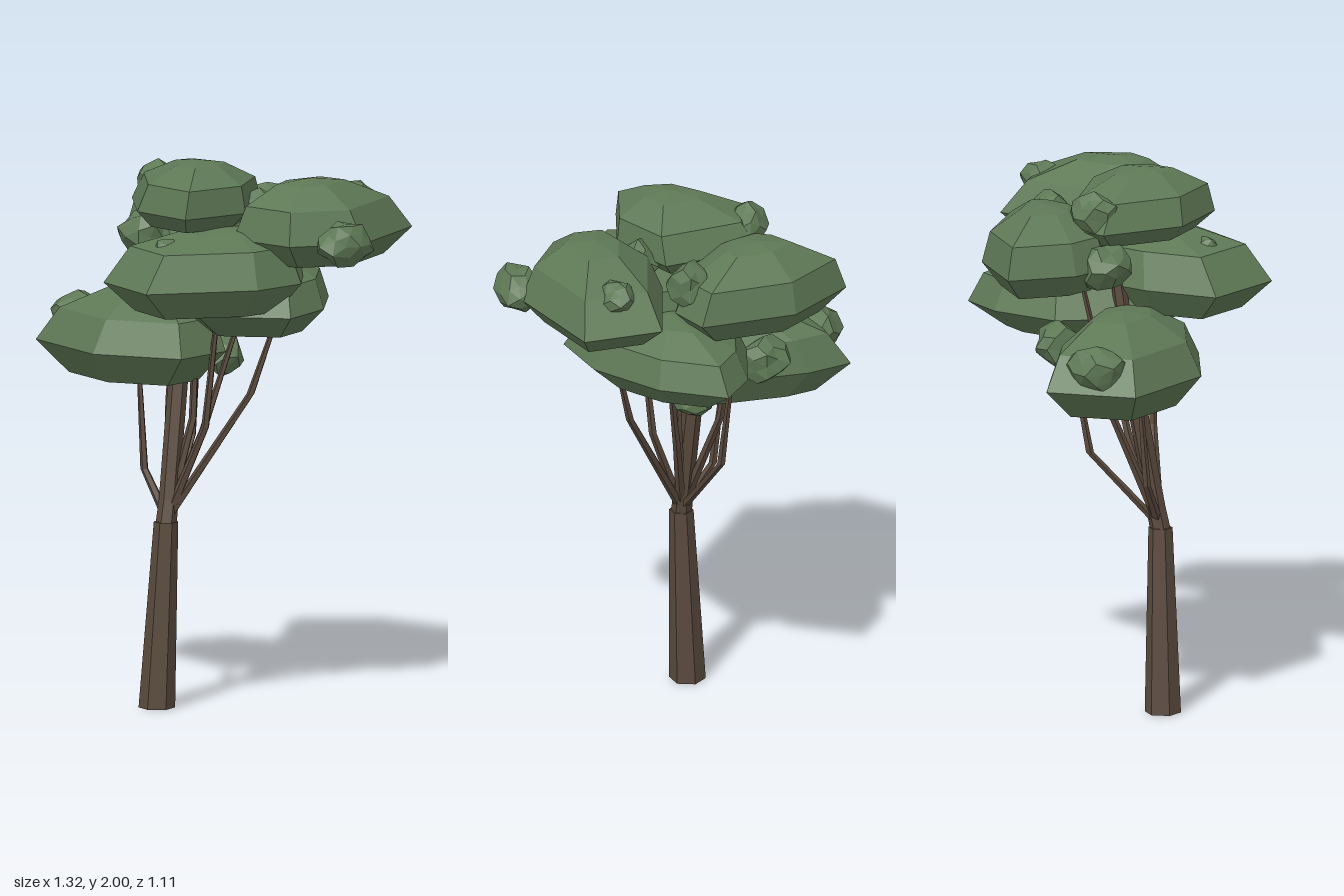
import * as THREE from 'three';

const leafMat = new THREE.MeshStandardMaterial({ color: 0x5e7855, flatShading: true });
const barkMat = new THREE.MeshStandardMaterial({ color: 0x5a4a3d, flatShading: true });

// Closed surface through loops of n corners each, from bottom to top
function loftGeometry(loops) {
  const n = loops[0].length, index = [];
  for (let k = 0; k < loops.length - 1; k++) {
    for (let i = 0; i < n; i++) {
      const j = (i + 1) % n, a = k * n + i, b = k * n + j;
      if (k > 0) index.push(a, b, b + n);
      else index.push(a, b + n, a + n);
      if (k > 0 && k < loops.length - 2) index.push(a, b + n, a + n);
    }
  }
  const g = new THREE.BufferGeometry();
  g.setAttribute('position', new THREE.Float32BufferAttribute(loops.flat(2), 3));
  g.setIndex(index);
  g.computeVertexNormals();
  return g;
}

// Faceted leaf pad: one outline [x, z] scaled per loop; the crown may lean by [dx, dz]
function padGeometry({ outline, heights: [yBottom, yRim, yLedge, yTop], base, ledge, lean }) {
  const n = outline.length;
  const cx = outline.reduce((s, p) => s + p[0], 0) / n;
  const cz = outline.reduce((s, p) => s + p[1], 0) / n;
  const loops = [
    [0, yBottom, 0], [base, yBottom + 0.005, 0], [1, yRim, 0],
    [ledge, yLedge, 0.5], [0.38, yTop - 0.015, 1], [0, yTop, 1],
  ];
  return loftGeometry(loops.map(([s, y, k]) => outline.map(([x, z]) =>
    [cx + (x - cx) * s + lean[0] * k, y, cz + (z - cz) * s + lean[1] * k])));
}

// Tapered limb through points [x, y, z, radius], made of horizontal loops
function limbGeometry(points, sides) {
  const ring = ([x, y, z], r) => Array.from({ length: sides }, (_, i) => {
    const t = (i + 0.3) / sides * Math.PI * 2;
    return [x + Math.sin(t) * r, y, z + Math.cos(t) * r];
  });
  return loftGeometry([
    ring(points[0], 0), ...points.map((p) => ring(p, p[3])), ring(points.at(-1), 0)]);
}

// Small lumpy leaf tuft
function tuftGeometry(rx, ry, rz, seed) {
  const g = new THREE.IcosahedronGeometry(1, 1);
  const p = g.attributes.position, v = new THREE.Vector3();
  for (let i = 0; i < p.count; i++) {
    v.fromBufferAttribute(p, i);
    const k = 0.93 + 0.12 * Math.sin(5 * v.x + 7 * v.y + 4 * v.z + seed);
    p.setXYZ(i, v.x * rx * k, v.y * ry * k, v.z * rz * k);
  }
  g.computeVertexNormals();
  return g;
}

export function createModel() {
  const tree = new THREE.Group();
  tree.name = 'tree';
  const add = (name, geometry, material) => {
    const m = new THREE.Mesh(geometry, material);
    m.name = name;
    tree.add(m);
    return m;
  };

  // Trunk and its narrower upper stem
  add('trunk', limbGeometry([[-0.09, 0, 0.25, 0.066], [-0.065, 0.68, 0.228, 0.044]], 6), barkMat);
  add('upperStem', limbGeometry([
    [-0.065, 0.67, 0.228, 0.038], [-0.07, 0.76, 0.21, 0.036],
    [-0.1, 1.2, 0.137, 0.036], [-0.11, 1.65, 0.07, 0.025]], 6), barkMat);

  // Thin branches, each with a bend: [bend, tip]
  const branches = [
    [[-0.18, 0.86, 0.23], [-0.22, 1.22, 0.22]],
    [[-0.18, 0.96, 0.0], [-0.21, 1.33, -0.06]],
    [[-0.19, 1.1, 0.1], [-0.25, 1.62, 0.0]],
    [[0.05, 1.03, 0.14], [0.1, 1.5, 0.12]],
    [[0.15, 1.15, 0.01], [0.21, 1.42, -0.06]],
    [[-0.04, 1.05, 0.12], [-0.03, 1.78, 0.1]],
    [[-0.03, 1.0, 0.08], [0.02, 1.4, -0.05]],
  ];
  branches.forEach(([bend, tip], i) => add(`branch${i + 1}`, limbGeometry([
    [-0.065, 0.69, 0.222, 0.02], [...bend, 0.015], [...tip, 0.009]], 5), barkMat));

  // Large leaf pads: outline counterclockwise from above; heights of bottom, rim, ledge, top
  const pads = {
    lowerFrontPad: {
      outline: [[-0.66, 0.065], [-0.59, 0.39], [-0.2, 0.46], [0.1, 0.3],
        [0.07, 0.06], [-0.12, -0.05], [-0.5, 0.0]],
      heights: [1.18, 1.3, 1.42, 1.52], base: 0.68, ledge: 0.82, lean: [0.03, -0.02],
    },
    middleFrontPad: {
      outline: [[-0.14, 0.2], [-0.12, 0.48], [0.19, 0.55], [0.39, 0.19],
        [0.38, -0.03], [0.2, -0.2], [-0.08, -0.12]],
      heights: [1.465, 1.575, 1.705, 1.77], base: 0.72, ledge: 0.8, lean: [0, -0.04],
    },
    middleBackPad: {
      outline: [[-0.14, -0.51], [-0.23, -0.36], [-0.26, -0.1], [-0.1, 0.15],
        [0.13, 0.25], [0.39, 0.03], [0.31, -0.2], [0.1, -0.41]],
      heights: [1.36, 1.455, 1.56, 1.64], base: 0.66, ledge: 0.84, lean: [0, -0.02],
    },
    upperRightPad: {
      outline: [[-0.62, -0.11], [-0.45, 0.08], [-0.3, 0.13], [-0.04, 0.0],
        [0.02, -0.25], [-0.06, -0.39], [-0.41, -0.32]],
      heights: [1.59, 1.685, 1.8, 1.895], base: 0.72, ledge: 0.86, lean: [-0.02, 0],
    },
    upperLeftPad: {
      outline: [[0.1, -0.5], [0.05, -0.12], [0.18, 0.12], [0.45, 0.09],
        [0.57, -0.16], [0.39, -0.555]],
      heights: [1.635, 1.73, 1.85, 1.94], base: 0.7, ledge: 0.8, lean: [0.01, 0.05],
    },
    topPad: {
      outline: [[-0.31, -0.04], [-0.35, 0.14], [-0.1, 0.335], [0.16, 0.335],
        [0.19, 0.07], [0.04, -0.14]],
      heights: [1.755, 1.82, 1.92, 2.0], base: 0.74, ledge: 0.86, lean: [0.05, 0.01],
    },
  };
  for (const [name, pad] of Object.entries(pads)) add(name, padGeometry(pad), leafMat);

  // Small tufts: centre, then radii
  const tufts = [
    [-0.56, 1.375, 0.215, 0.09, 0.09, 0.12],
    [-0.33, 1.39, -0.05, 0.1, 0.09, 0.09],
    [-0.07, 1.26, -0.05, 0.08, 0.08, 0.085],
    [-0.3, 1.69, 0.12, 0.11, 0.09, 0.1],
    [-0.285, 1.87, 0.07, 0.075, 0.09, 0.1],
    [-0.03, 1.79, -0.23, 0.08, 0.09, 0.08],
    [0.575, 1.74, -0.07, 0.085, 0.09, 0.12],
    [0.25, 1.83, -0.41, 0.07, 0.07, 0.08],
    [0.13, 1.8, -0.05, 0.08, 0.09, 0.09],
    [0.07, 1.69, 0.35, 0.05, 0.06, 0.05],
  ];
  tufts.forEach(([x, y, z, rx, ry, rz], i) =>
    add(`tuft${i + 1}`, tuftGeometry(rx, ry, rz, i * 1.7), leafMat).position.set(x, y, z));

  return tree;
}
